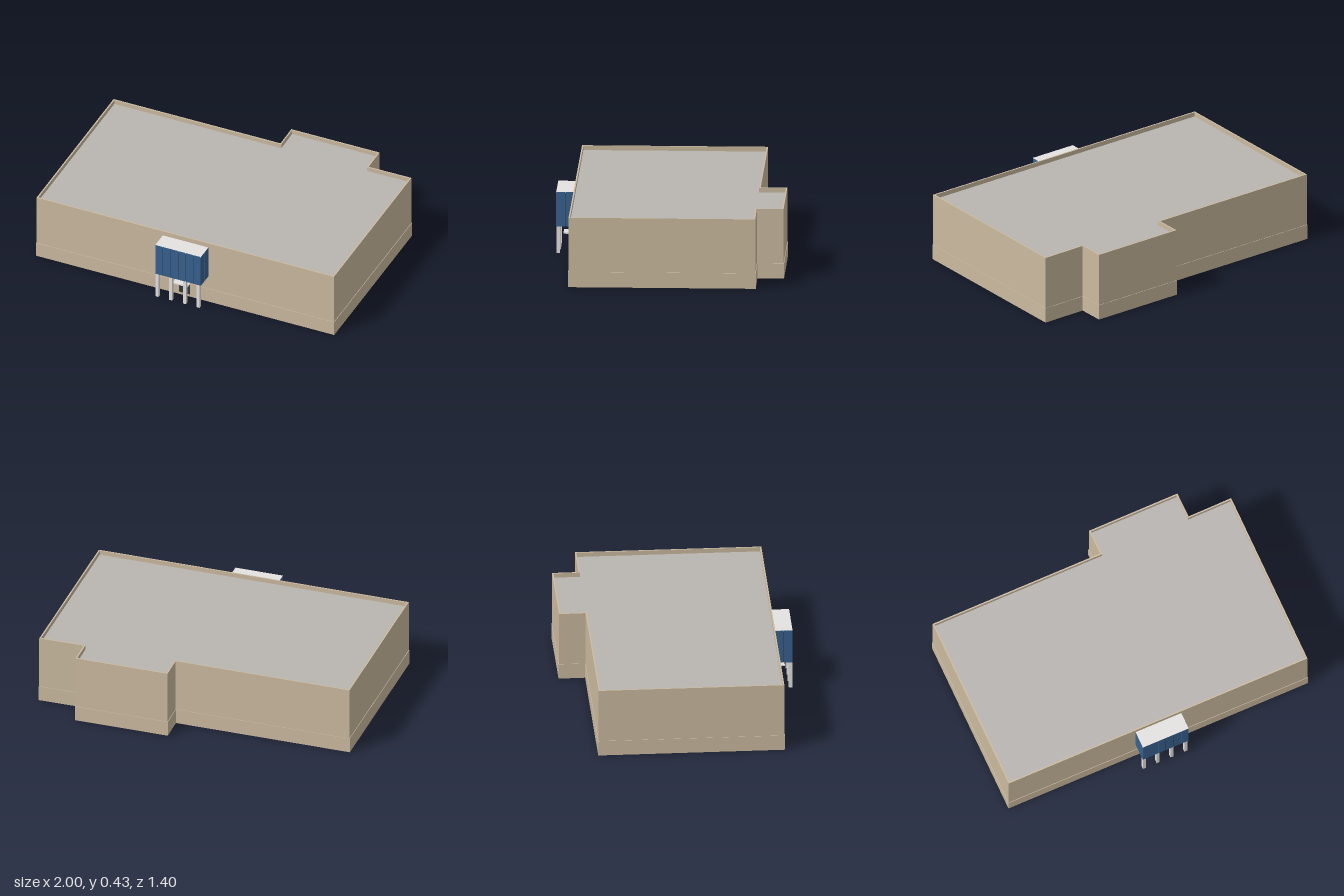
import * as THREE from 'three';

const mat = (name, color) => Object.assign(new THREE.MeshStandardMaterial({ color }), { name });

// Floor plan corners, counter-clockwise from above: x, z, then the inward direction in x and z
const PLAN = [
  [0.983, 0.602, -1, -1], [0.996, -0.529, -1, 1], [0.713, -0.530, -1, 1], [0.713, -0.692, -1, 1],
  [0.126, -0.698, 1, 1], [0.126, -0.537, 1, 1], [-0.984, -0.550, 1, 1], [-0.996, 0.577, 1, -1],
];
const WALL = 0.009;
const outline = (inset) => PLAN.map(([x, z, sx, sz]) => new THREE.Vector2(x + sx * inset, -(z + sz * inset)));

// Upright slab of the plan between two heights, optionally hollow
function planGeometry(outer, inner, y0, y1) {
  const shape = new THREE.Shape(outline(outer));
  if (inner !== null) shape.holes.push(new THREE.Path(outline(inner).reverse()));
  const geo = new THREE.ExtrudeGeometry(shape, { depth: y1 - y0, bevelEnabled: false });
  return geo.rotateX(-Math.PI / 2).translate(0, y0, 0);
}

export function createModel() {
  const model = new THREE.Group();
  model.name = 'building';
  const wall = mat('tanWall', 0xcbba9f);
  wall.side = THREE.DoubleSide;
  const roof = mat('greyRoof', 0xb9b5b1);
  const blue = mat('bluePanel', 0x38618f);
  const light = mat('lightGrey', 0xe4e3e1);
  const dark = mat('darkDoor', 0x2e3939);

  const add = (parent, name, geo, material) => {
    const mesh = new THREE.Mesh(geo, material);
    mesh.name = name;
    parent.add(mesh);
    return mesh;
  };
  const box = (parent, name, x0, x1, y0, y1, z0, z1, material) =>
    add(parent, name, new THREE.BoxGeometry(x1 - x0, y1 - y0, z1 - z0), material)
      .position.set((x0 + x1) / 2, (y0 + y1) / 2, (z0 + z1) / 2);

  // Open-bottomed shell with a slightly proud base course and a sunken roof
  add(model, 'walls', planGeometry(0, WALL, 0.095, 0.43), wall);
  add(model, 'baseCourse', planGeometry(-0.003, WALL, 0, 0.095), wall);
  add(model, 'roof', planGeometry(WALL - 0.001, null, 0.395, 0.402), roof);

  // Entrance follows the slight turn of the front wall
  const entrance = new THREE.Group();
  entrance.name = 'entrance';
  entrance.rotation.y = -0.0137;
  entrance.position.x = 0.004;
  model.add(entrance);

  // Canopy: light top over upright blue panels with dark joints
  const x0 = -0.152, x1 = 0.152, zBack = 0.586, zFront = 0.699;
  const gap = 0.0015;
  box(entrance, 'canopyTop', x0 + 0.0005, x1 - 0.0005, 0.394, 0.4, zBack, zFront - 0.0005, light);
  box(entrance, 'canopyCore', x0 + 0.003, x1 - 0.003, 0.187, 0.395, zBack, zFront - 0.003, dark);
  const step = (x1 - x0) / 6;
  for (let i = 0; i < 6; i++) {
    box(entrance, 'frontPanel', x0 + i * step + gap, x0 + (i + 1) * step - gap, 0.186, 0.399, zFront - 0.004, zFront, blue);
  }
  const half = (zFront - zBack) / 2;
  for (const x of [x0, x1 - 0.004]) {
    for (let i = 0; i < 2; i++) {
      box(entrance, 'sidePanel', x, x + 0.004, 0.186, 0.399, zBack + i * half + gap, zBack + (i + 1) * half - gap, blue);
    }
  }

  // Posts
  for (let i = 0; i < 4; i++) {
    const x = -0.141 + i * 0.0913;
    box(entrance, 'post', x - 0.01, x + 0.01, 0.018, 0.188, 0.676, 0.698, light);
  }

  // Door through the wall, light slats across its head and a small shelter above
  box(entrance, 'door', -0.042, 0.031, 0.018, 0.115, 0.578, 0.595, dark);
  for (const y of [0.092, 0.104]) box(entrance, 'doorSlat', -0.042, 0.031, y, y + 0.003, 0.594, 0.597, light);
  box(entrance, 'doorShelter', -0.054, 0.046, 0.116, 0.124, 0.588, 0.659, light);
  return model;
}
